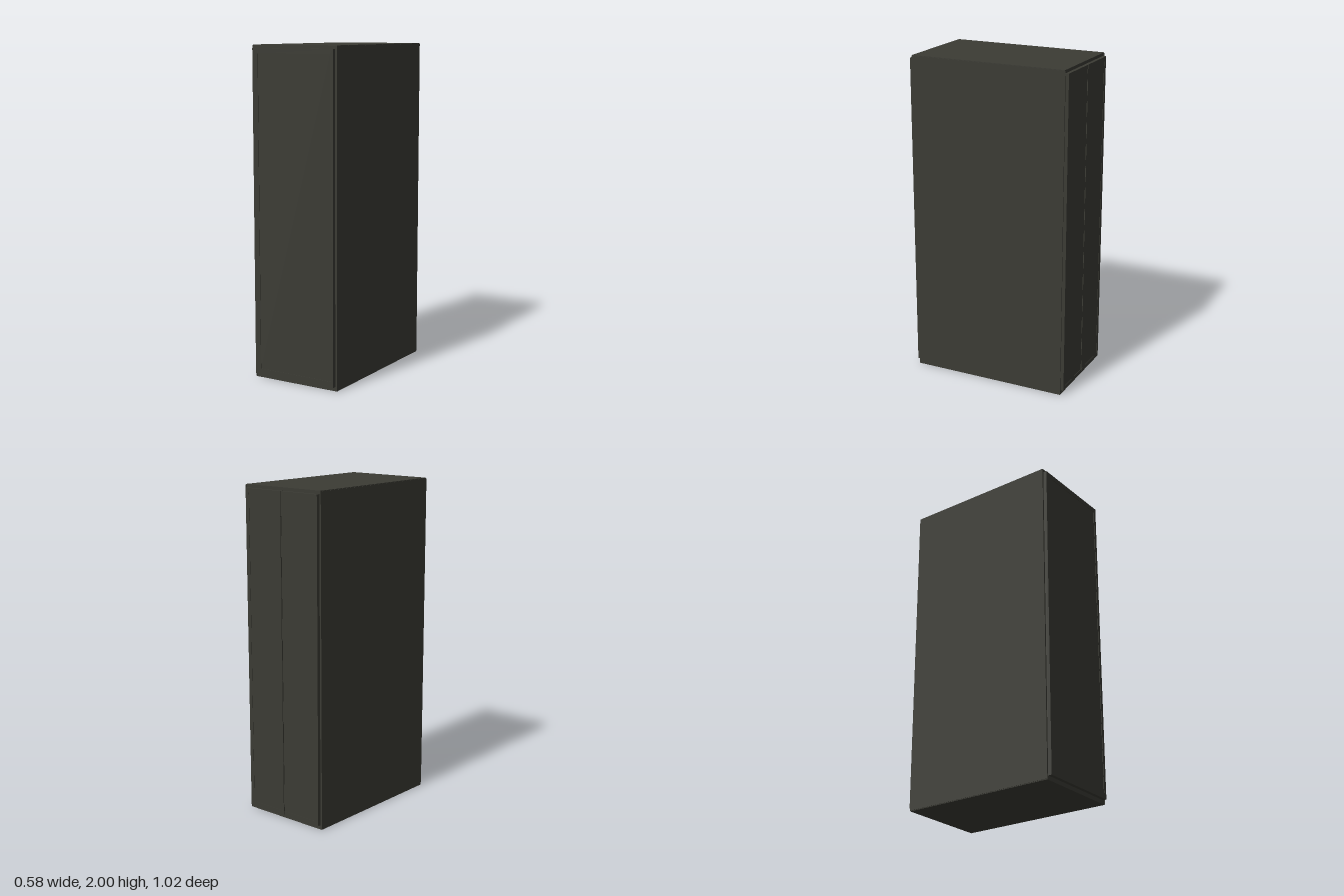
import * as THREE from 'three';

export function createModel() {
  const group = new THREE.Group();
  group.name = 'equipmentCabinet';
  const metal = new THREE.MeshStandardMaterial({ color: 0x3b3b34 });
  metal.name = 'dark grey metal';

  // Box given by its minimum and maximum corners
  function box(name, x0, x1, y0, y1, z0, z1, parent = group) {
    const mesh = new THREE.Mesh(new THREE.BoxGeometry(x1 - x0, y1 - y0, z1 - z0), metal);
    mesh.position.set((x0 + x1) / 2, (y0 + y1) / 2, (z0 + z1) / 2);
    mesh.name = name;
    parent.add(mesh);
  }

  // Rectangular outline, used for door rims and their openings
  function trace(path, x0, x1, y0, y1) {
    path.moveTo(x0, y0);
    path.lineTo(x1, y0);
    path.lineTo(x1, y1);
    path.lineTo(x0, y1);
    path.closePath();
    return path;
  }

  // Door: a raised rim around a slightly recessed panel, outer face towards +z
  function door(name, outer, inner, depth, recess) {
    const leaf = new THREE.Group();
    leaf.name = name;
    const shape = trace(new THREE.Shape(), ...outer);
    shape.holes.push(trace(new THREE.Path(), ...inner));
    const rim = new THREE.Mesh(
      new THREE.ExtrudeGeometry(shape, { depth, bevelEnabled: false }), metal);
    rim.name = name + 'Rim';
    leaf.add(rim);
    box(name + 'Panel', ...inner, 0, depth - recess, leaf);
    group.add(leaf);
    return leaf;
  }

  // Cabinet body with side panels, roof and base
  box('body', -0.284, 0.284, 0.006, 1.994, -0.489, 0.487);
  for (const s of [-1, 1]) {
    box(s > 0 ? 'leftSidePanel' : 'rightSidePanel',
      s > 0 ? 0.284 : -0.29, s > 0 ? 0.29 : -0.284, 0.004, 1.996, -0.494, 0.49);
  }
  box('roof', -0.287, 0.287, 1.994, 2, -0.492, 0.488);
  box('base', -0.287, 0.287, 0, 0.006, -0.492, 0.488);

  // Single front door
  const front = door('frontDoor', [-0.277, 0.275, 0.025, 1.98], [-0.24, 0.255, 0.06, 1.95], 0.023, 0.003);
  front.position.z = 0.487;

  // Pair of rear doors meeting at a narrow seam
  for (const s of [-1, 1]) {
    const outer = s > 0 ? [0.002, 0.275, 0.025, 1.98] : [-0.275, -0.002, 0.025, 1.98];
    const inner = s > 0 ? [0.004, 0.25, 0.05, 1.955] : [-0.25, -0.004, 0.05, 1.955];
    const rear = door(s > 0 ? 'rightRearDoor' : 'leftRearDoor', outer, inner, 0.022, 0.002);
    rear.rotation.y = Math.PI;
    rear.position.z = -0.488;
  }
  return group;
}
